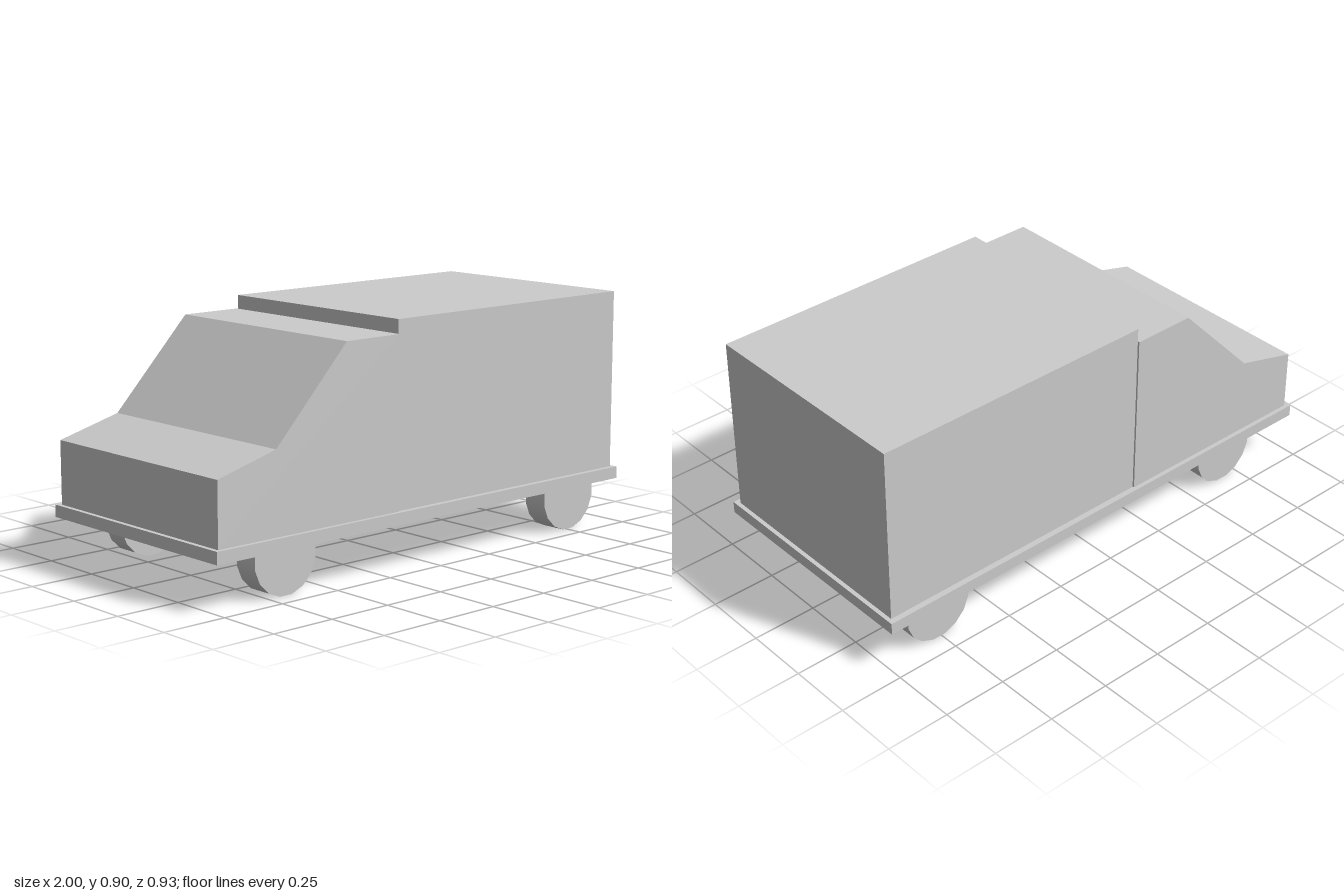
import * as THREE from 'three';

const material = new THREE.MeshStandardMaterial({ color: 0xcccccc });

function part(name, geometry, x = 0, y = 0, z = 0) {
  const mesh = new THREE.Mesh(geometry, material);
  mesh.name = name;
  mesh.position.set(x, y, z);
  return mesh;
}

export function createModel() {
  const van = new THREE.Group();
  van.name = 'van';

  // Flat chassis plate
  van.add(part('chassis', new THREE.BoxGeometry(2, 0.046, 0.928), 0, 0.193, 0));

  // Cargo box
  van.add(part('cargoBox', new THREE.BoxGeometry(1.145, 0.69, 0.884), 0.411, 0.56, 0.001));

  // Cab: side profile with bonnet and windscreen slopes, extruded across the width
  const profile = new THREE.Shape([
    [-0.983, 0.216], [-0.163, 0.216], [-0.163, 0.853],
    [-0.41, 0.853], [-0.73, 0.52], [-0.983, 0.453],
  ].map(([x, y]) => new THREE.Vector2(x, y)));
  const cab = new THREE.ExtrudeGeometry(profile, { depth: 0.896, bevelEnabled: false });
  van.add(part('cab', cab, 0, 0, -0.447));

  // Wheels, turned half a step so a flat rests on the ground
  const sides = 16;
  const radius = 0.135 / Math.cos(Math.PI / sides);
  const wheel = new THREE.CylinderGeometry(radius, radius, 0.096, sides);
  wheel.rotateY(Math.PI / sides).rotateX(Math.PI / 2);
  for (const [end, x] of [['front', -0.673], ['rear', 0.76]]) {
    for (const [side, z] of [['Left', 0.38], ['Right', -0.373]]) {
      van.add(part(`${end}${side}Wheel`, wheel, x, 0.135, z));
    }
  }
  return van;
}
